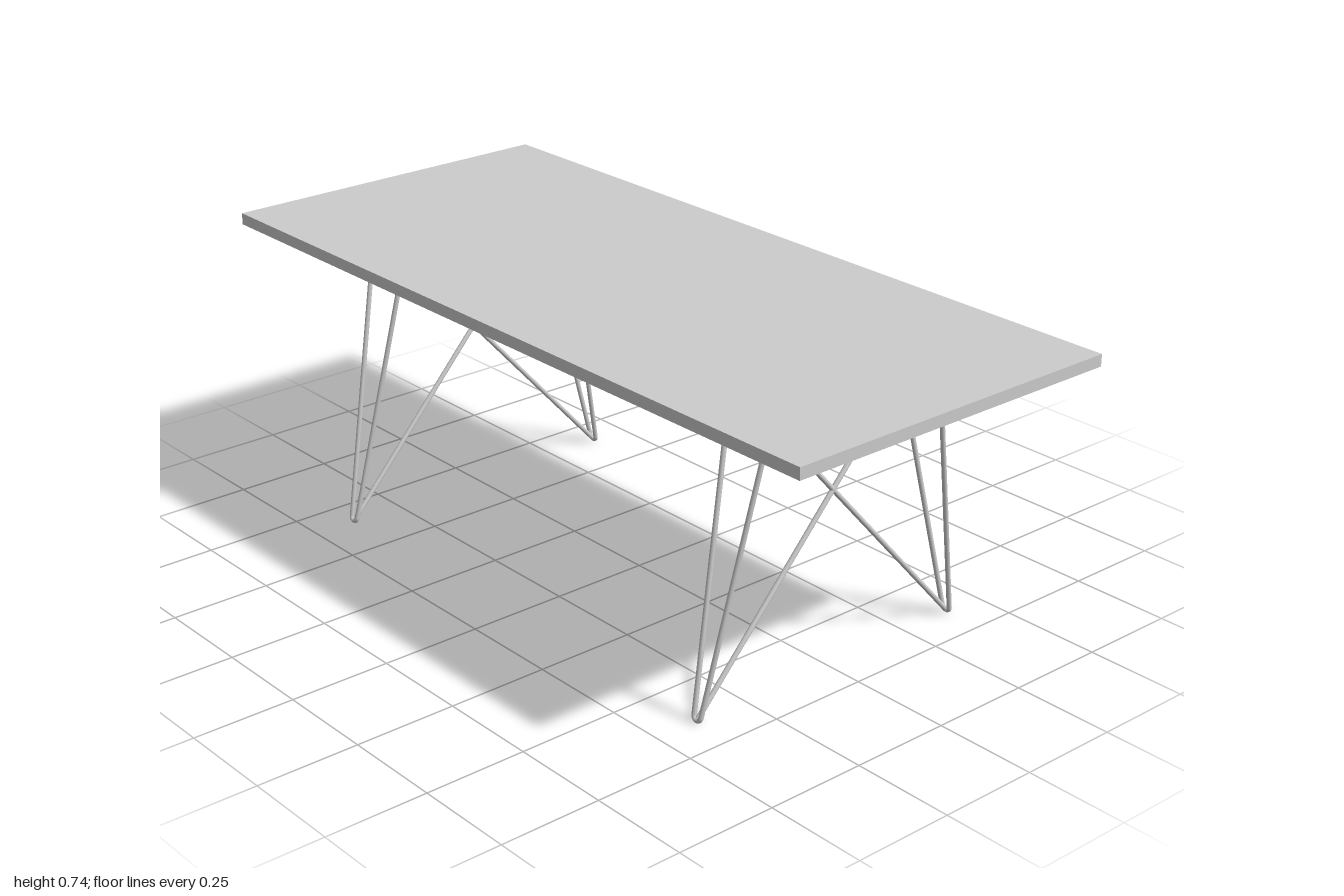
import * as THREE from 'three';

const R = 0.006; // rod radius
const FRAME_X = 0.65;
const FOOT_Z = 0.39, TOP_Z = 0.248, TOP_Y = 0.71;
const BEND = 0.011; // bend radius at the foot
const SPREAD = 0.067; // half width of the hairpin at the top

const V = (x, y, z) => new THREE.Vector3(x, y, z);
const metal = new THREE.MeshStandardMaterial({ color: 0xcccccc });

// Round rod between two points
function rod(name, a, b) {
  const dir = b.clone().sub(a);
  const mesh = new THREE.Mesh(new THREE.CylinderGeometry(R, R, dir.length(), 16), metal);
  mesh.name = name;
  mesh.position.copy(a).add(b).multiplyScalar(0.5);
  mesh.quaternion.setFromUnitVectors(V(0, 1, 0), dir.normalize());
  return mesh;
}

// Bent hairpin leg with a top bar and a diagonal brace, foot at +z
function createLeg() {
  const leg = new THREE.Group();
  leg.name = 'leg';

  // Hairpin lies in a plane tilted about x; its origin is the bend centre
  const footY = R + BEND;
  const height = TOP_Y - footY, lean = TOP_Z - FOOT_Z;
  const length = Math.hypot(height, lean);
  const a = Math.atan2(SPREAD - BEND, length);
  const hairpin = new THREE.Group();
  hairpin.name = 'hairpin';
  hairpin.position.set(0, footY, FOOT_Z);
  hairpin.rotation.x = Math.atan2(lean, height);

  for (const s of [-1, 1]) {
    hairpin.add(rod('hairpinRod',
      V(s * BEND * Math.cos(a), -BEND * Math.sin(a), 0), V(s * SPREAD, length, 0)));
    // Rounded joint at the top corner
    const joint = new THREE.Mesh(new THREE.SphereGeometry(R, 16, 10), metal);
    joint.name = 'cornerJoint';
    joint.position.set(s * SPREAD, length, 0);
    hairpin.add(joint);
  }
  hairpin.add(rod('topBar', V(-SPREAD, length, 0), V(SPREAD, length, 0)));

  const bend = new THREE.Mesh(new THREE.TorusGeometry(BEND, R, 12, 20, Math.PI - 2 * a), metal);
  bend.name = 'footBend';
  bend.rotation.z = Math.PI + a;
  hairpin.add(bend);

  leg.add(hairpin, rod('diagonalBrace', V(0, R + 0.002, FOOT_Z), V(0, TOP_Y, -TOP_Z)));
  return leg;
}

export function createModel() {
  const table = new THREE.Group();
  table.name = 'table';

  // Table top
  const top = new THREE.Mesh(new THREE.BoxGeometry(2, 0.029, 0.896), metal);
  top.name = 'tableTop';
  top.position.y = 0.7305;
  table.add(top);

  // Two crossed frames, each made of two opposing legs
  for (const x of [-FRAME_X, FRAME_X]) {
    const frame = new THREE.Group();
    frame.name = 'legFrame';
    frame.position.x = x;
    const front = createLeg(), back = createLeg();
    front.name = 'frontLeg';
    back.name = 'backLeg';
    back.rotation.y = Math.PI;
    frame.add(front, back);
    table.add(frame);
  }
  return table;
}
